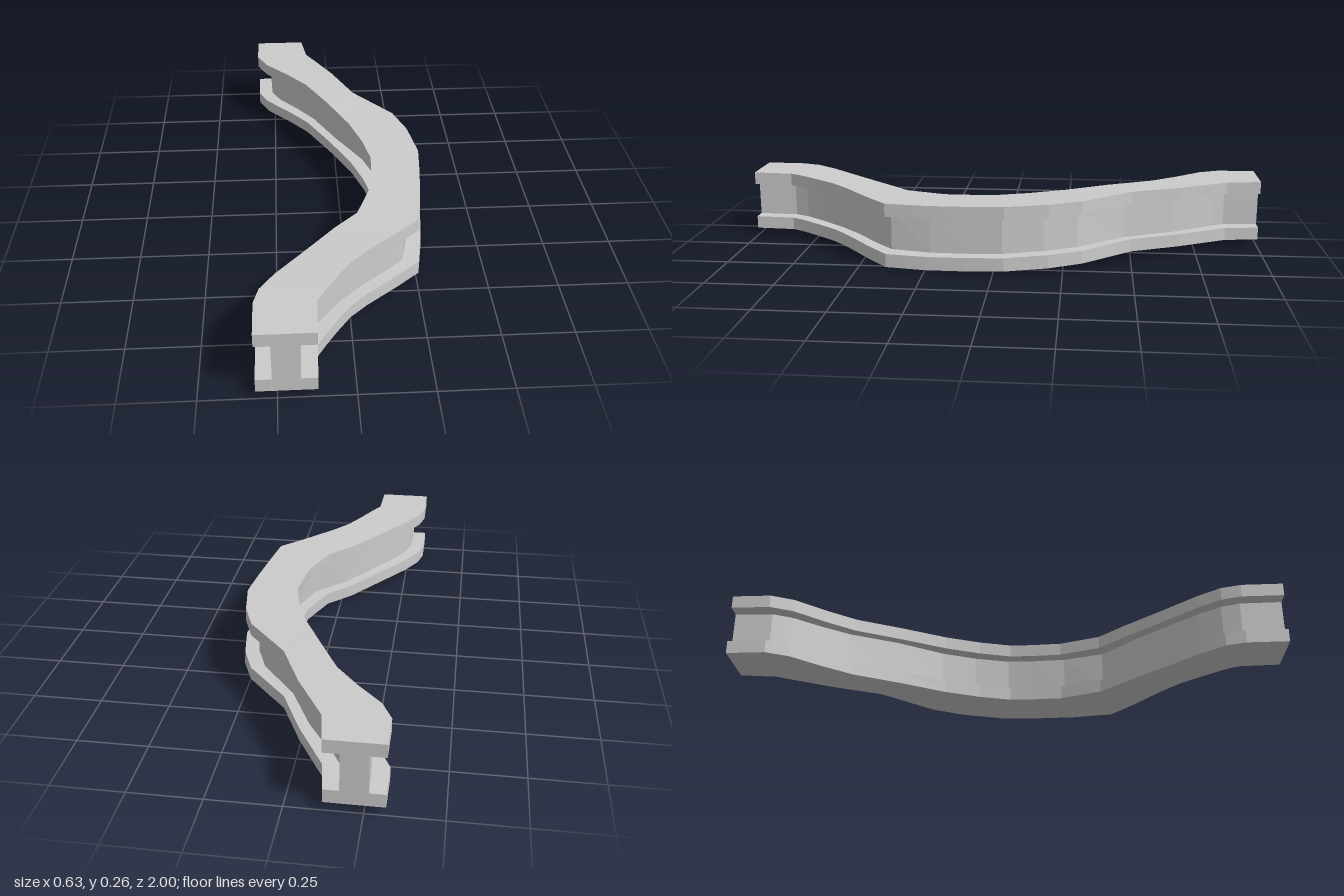
import * as THREE from 'three';

// Plan of the bent beam from back to front: left edge x, z and right edge x, z
const stations = [
  [-0.318, -1, -0.122, -1],
  [-0.318, -0.86, -0.103, -0.87],
  [-0.28, -0.78, -0.08, -0.83],
  [-0.19, -0.68, -0.05, -0.775],
  [-0.11, -0.58, 0.0, -0.685],
  [-0.02, -0.41, 0.085, -0.5],
  [0.06, -0.25, 0.24, -0.32],
  [0.105, -0.12, 0.288, -0.2],
  [0.13, 0, 0.316, -0.04],
  [0.125, 0.08, 0.305, 0.1],
  [0.11, 0.2, 0.287, 0.25],
  [0.05, 0.35, 0.262, 0.4],
  [0.0, 0.4, 0.175, 0.48],
  [-0.04, 0.44, 0.06, 0.585],
  [-0.145, 0.57, 0.0, 0.65],
  [-0.25, 0.7, -0.05, 0.73],
  [-0.3, 0.78, -0.09, 0.8],
  [-0.318, 0.85, -0.118, 0.85],
  [-0.318, 1, -0.122, 1],
];

// I-section, counter-clockwise: fraction across the width, height
const section = [
  [0, 0.03], [1, 0.03], [1, 0.078], [0.73, 0.078], [0.73, 0.213], [1, 0.213],
  [1, 0.26], [0, 0.26], [0, 0.213], [0.27, 0.213], [0.27, 0.078], [0, 0.078],
];

// Amount of sag along the length, 0 at the ends and 1 at the lowest stretch
function sag(z) {
  const keys = [[-1, 0], [-0.4, 0], [0.1, 0.83], [0.25, 1], [0.45, 1], [0.6, 0.6], [0.8, 0.08], [1, 0]];
  const k = keys.findIndex((p) => p[0] >= z);
  if (k < 1) return 0;
  const [a, b] = [keys[k - 1], keys[k]];
  return THREE.MathUtils.mapLinear(z, a[0], b[0], a[1], b[1]);
}

export function createModel() {
  const positions = [];
  const indices = [];
  const n = section.length;

  // Sweep the section through the stations, sagging and leaning the middle slightly
  stations.forEach(([lx, lz, rx, rz], s) => {
    section.forEach(([u, y]) => {
      const z = THREE.MathUtils.lerp(lz, rz, u);
      const height = (y - 0.03) / 0.23;
      const lean = 0.013 * height * THREE.MathUtils.smoothstep(1 - Math.abs(z), 0.3, 0.9);
      const drop = sag(z) * (0.021 + 0.009 * u * (1 - height));
      positions.push(THREE.MathUtils.lerp(lx, rx, u) - lean, y - drop, z);
    });
    if (s === 0) return;
    for (let i = 0; i < n; i++) {
      const j = (i + 1) % n;
      const a = (s - 1) * n + i, b = (s - 1) * n + j, c = s * n + j, d = s * n + i;
      indices.push(a, b, c, a, c, d);
    }
  });

  // End caps
  const outline = section.map(([u, y]) => new THREE.Vector2(u, y));
  const last = (stations.length - 1) * n;
  for (const [a, b, c] of THREE.ShapeUtils.triangulateShape(outline, [])) {
    indices.push(last + a, last + b, last + c, a, c, b);
  }

  const geometry = new THREE.BufferGeometry();
  geometry.setAttribute('position', new THREE.Float32BufferAttribute(positions, 3));
  geometry.setIndex(indices);
  geometry.computeVertexNormals();

  const beam = new THREE.Mesh(
    geometry,
    new THREE.MeshStandardMaterial({ color: 0xcccccc, flatShading: true })
  );
  beam.name = 'bentBeam';

  const group = new THREE.Group();
  group.name = 'bentIBeam';
  group.add(beam);
  return group;
}
